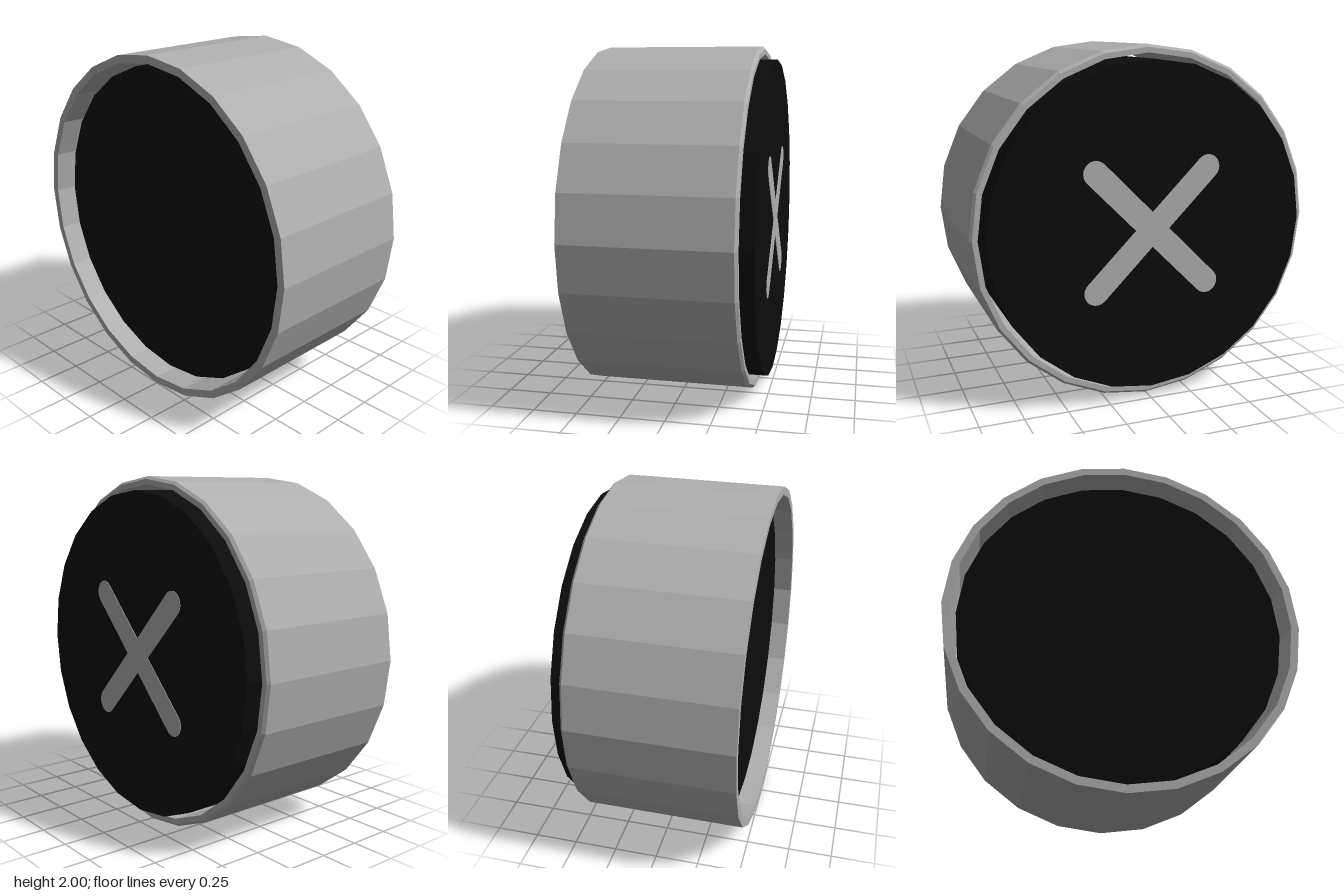
import * as THREE from 'three';

const SIDES = 24;

export function createModel() {
  const grey = new THREE.MeshStandardMaterial({ color: 0xb0b0b0 });
  grey.name = 'grey metal';
  grey.flatShading = true;
  const black = new THREE.MeshStandardMaterial({ color: 0x0c0c0c });
  black.name = 'black';
  black.flatShading = true;

  const group = new THREE.Group();
  group.name = 'buttonCap';
  const add = (name, geometry, material) => {
    const mesh = new THREE.Mesh(geometry, material);
    mesh.name = name;
    mesh.position.y = 1;
    group.add(mesh);
    return mesh;
  };

  // Open sleeve with a small bevel on the back rim; the profile axis becomes z
  const profile = [
    [0.955, -0.425], [0.985, -0.425], [1, -0.41],
    [1, 0.5], [0.955, 0.5], [0.955, -0.425],
  ].map(([r, z]) => new THREE.Vector2(r, z));
  add('outerSleeve', new THREE.LatheGeometry(profile, SIDES).rotateX(Math.PI / 2), grey);

  // Core, recessed at the front and standing proud at the back
  const front = 0.39, back = -0.497;
  const core = new THREE.CylinderGeometry(0.925, 0.925, front - back, SIDES);
  core.rotateX(Math.PI / 2).translate(0, 0, (front + back) / 2);
  add('innerCore', core, black);

  // Diagonal cross with rounded ends, a thin plate on the back face
  const reach = 0.467, half = 0.07;
  const cross = new THREE.Shape();
  for (let i = 0; i < 4; i++) {
    const t = Math.PI / 4 + i * Math.PI / 2;
    cross.absarc(reach * Math.cos(t), reach * Math.sin(t), half, t - Math.PI / 2, t + Math.PI / 2, false);
    const c = t + Math.PI / 4;
    cross.lineTo(half * Math.SQRT2 * Math.cos(c), half * Math.SQRT2 * Math.sin(c));
  }
  const plate = new THREE.ExtrudeGeometry(cross, { depth: 0.004, bevelEnabled: false, curveSegments: 8 });
  plate.translate(0, 0, -0.5);
  add('backCross', plate, grey);

  return group;
}
